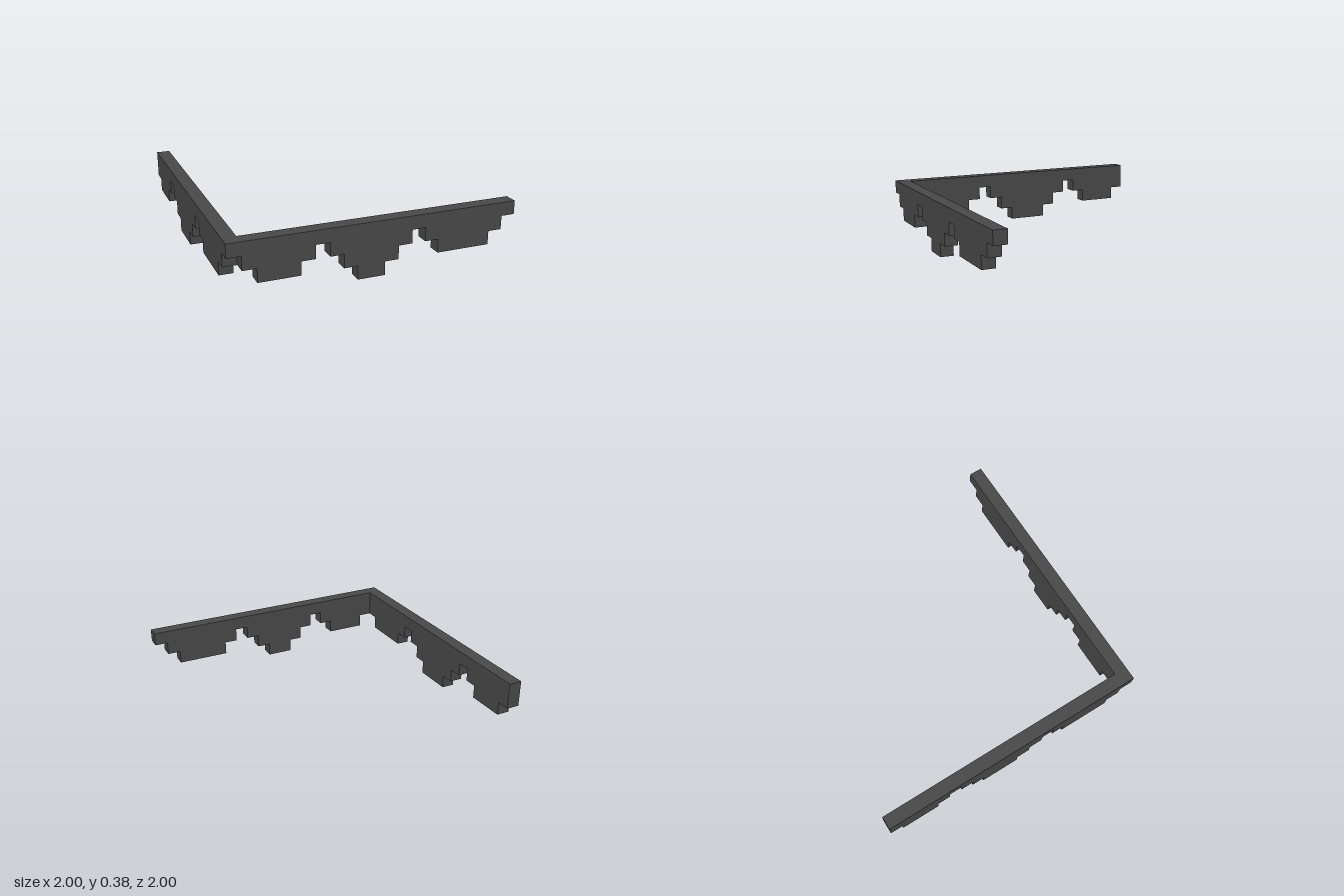
import * as THREE from 'three';

const U = 2 / 21;      // one grid step: 21 steps along each arm
const HEIGHT = 4 * U;

// Stepped hanging border; runs are [number of steps long, number of steps deep]
function valance(name, start, runs, material) {
  const shape = new THREE.Shape();
  let s = start * U;
  shape.moveTo(s, HEIGHT);
  for (const [length, depth] of runs) {
    const y = HEIGHT - depth * U;
    shape.lineTo(s, y);
    s += length * U;
    shape.lineTo(s, y);
  }
  shape.lineTo(s, HEIGHT);
  const geometry = new THREE.ExtrudeGeometry(shape, { depth: U, bevelEnabled: false });
  const mesh = new THREE.Mesh(geometry, material);
  mesh.name = name;
  return mesh;
}

export function createModel() {
  const group = new THREE.Group();
  group.name = 'cornerValance';
  const material = new THREE.MeshStandardMaterial({ color: 0x4a4a4a });
  material.name = 'darkGrey';

  // Front arm, including the corner
  const front = valance('frontValance', 0, [
    [1, 1], [1, 2], [3, 3], [1, 2], [1, 1], [1, 2], [1, 3], [2, 4],
    [1, 3], [1, 2], [1, 1], [1, 2], [4, 3], [1, 2], [1, 1],
  ], material);
  front.position.set(-1, 0, 1 - U);

  // Side arm, running back from the corner
  const side = valance('sideValance', 1, [
    [1, 2], [4, 3], [1, 2], [1, 1], [1, 2], [1, 3], [3, 4],
    [1, 3], [1, 2], [1, 1], [1, 2], [3, 3], [1, 2],
  ], material);
  side.rotation.y = Math.PI / 2;
  side.position.set(-1, 0, 1);

  group.add(front, side);
  return group;
}
